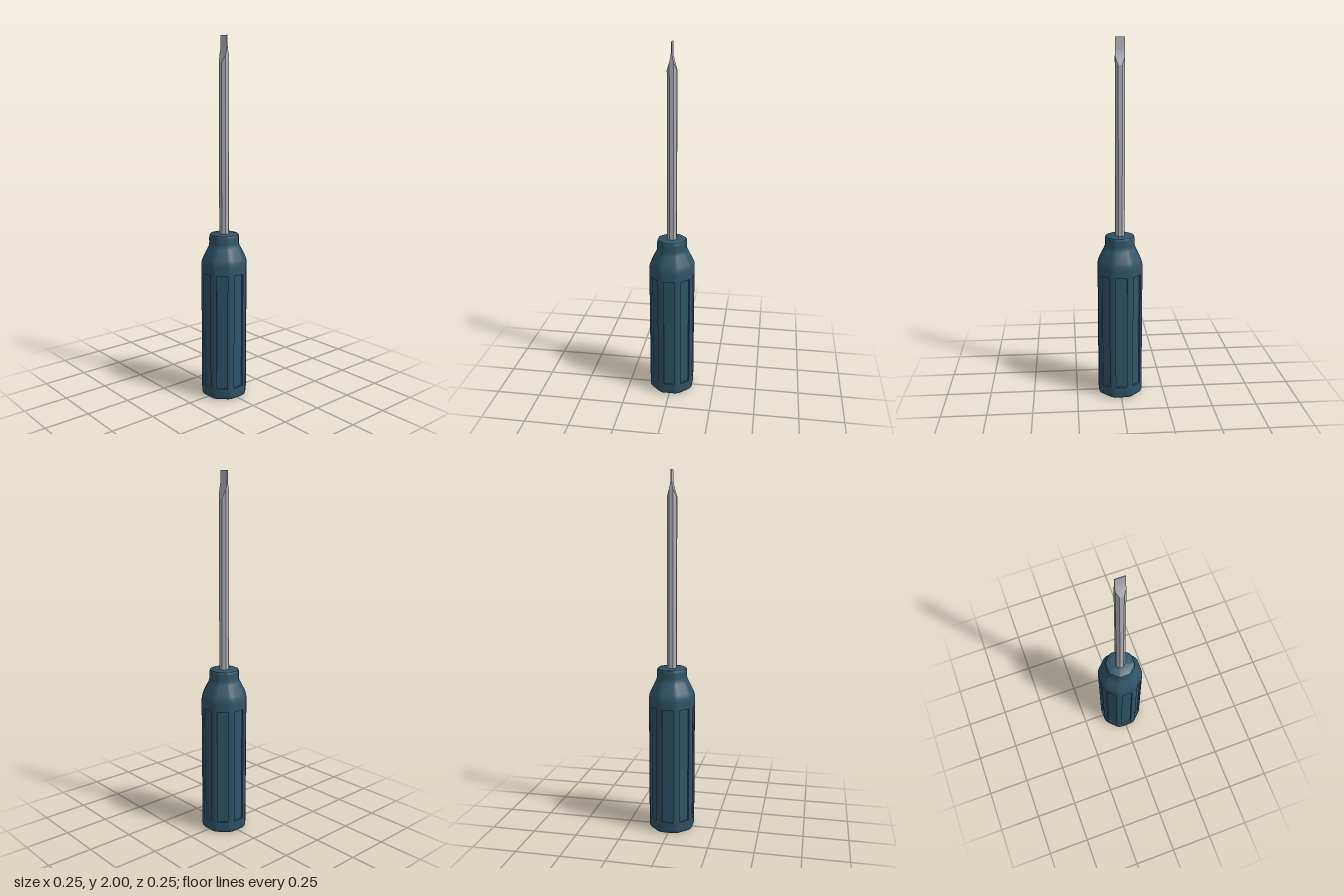
import * as THREE from 'three';
import { toCreasedNormals } from 'three/addons/utils/BufferGeometryUtils.js';

// Collects quads and triangles, corners given counterclockwise from outside
function makeSoup() {
  const pos = [];
  const tri = (a, b, c) => pos.push(...a, ...b, ...c);
  return {
    tri,
    quad(a, b, c, d) { tri(a, b, c); tri(a, c, d); },
    build(crease) {
      const g = new THREE.BufferGeometry();
      g.setAttribute('position', new THREE.Float32BufferAttribute(pos, 3));
      return toCreasedNormals(g, crease);
    },
  };
}

// Skins a stack of closed rings and caps both ends; skip() leaves openings
function loft(soup, rings, skip = () => false) {
  const n = rings[0].length;
  const first = rings[0], last = rings[rings.length - 1];
  for (let r = 0; r < rings.length - 1; r++) {
    for (let i = 0; i < n; i++) {
      const j = (i + 1) % n;
      if (!skip(r, i)) soup.quad(rings[r][i], rings[r][j], rings[r + 1][j], rings[r + 1][i]);
    }
  }
  for (let i = 0; i < n; i++) {
    const j = (i + 1) % n;
    soup.tri([0, first[0][1], 0], first[j], first[i]);
    soup.tri([0, last[0][1], 0], last[i], last[j]);
  }
}

// Eight-sided grip with rounded corners and a recessed panel in each side
function handleGeometry() {
  const apothem = 0.124, radius = 0.05, arcSteps = 4, depth = 0.01;
  const per = arcSteps + 1;
  const section = [];
  for (let k = 0; k < 8; k++) {
    const corner = (k + 0.5) * Math.PI / 4;
    const c = (apothem - radius) / Math.cos(Math.PI / 8);
    for (let s = 0; s <= arcSteps; s++) {
      const a = (k + s / arcSteps) * Math.PI / 4;
      section.push([
        Math.sin(corner) * c + Math.sin(a) * radius,
        Math.cos(corner) * c + Math.cos(a) * radius,
      ]);
    }
  }
  // [height, half width]
  const profile = [
    [0, 0.113], [0.004, 0.119], [0.01, 0.1225], [0.018, 0.124],
    [0.065, 0.124], [0.72, 0.124],
    [0.765, 0.124], [0.785, 0.122], [0.805, 0.115],
    [0.86, 0.088], [0.872, 0.083], [0.885, 0.081],
    [0.918, 0.081], [0.927, 0.0795], [0.932, 0.077], [0.935, 0.072],
  ];
  const rings = profile.map(([y, w]) => section.map(([x, z]) => [x * w / apothem, y, z * w / apothem]));
  const band = 4;
  const soup = makeSoup();
  loft(soup, rings, (r, i) => r === band && i % per === arcSteps);

  // Recess floors and walls
  const lo = rings[band], hi = rings[band + 1];
  for (let k = 0; k < 8; k++) {
    const i = k * per + arcSteps, j = (i + 1) % lo.length;
    const a = (k + 1) * Math.PI / 4;
    const sink = ([x, y, z]) => [x - Math.sin(a) * depth, y, z - Math.cos(a) * depth];
    const [p0, p1, p2, p3] = [lo[i], lo[j], hi[j], hi[i]];
    const [q0, q1, q2, q3] = [p0, p1, p2, p3].map(sink);
    soup.quad(q0, q1, q2, q3);
    soup.quad(p0, p1, q1, q0);
    soup.quad(q3, q2, p2, p3);
    soup.quad(p0, q0, q3, p3);
    soup.quad(q1, p1, p2, q2);
  }
  return soup.build(0.55);
}

// Octagonal rod, ground flat on front and back towards the tip
function shaftGeometry() {
  const w = 0.026, e = w * Math.tan(Math.PI / 8);
  const ring = (y, h) => {
    const x = Math.min(w, e + w - h); // where the grind meets the diagonal side
    const s = Math.min(e, h);
    return [[-x, y, h], [x, y, h], [w, y, s], [w, y, -s], [x, y, -h], [-x, y, -h], [-w, y, -s], [-w, y, s]];
  };
  const stations = [[0.9, w], [1.858, w], [1.9, e], [1.925, 0.005], [1.94, 0.003], [2, 0.002]];
  const soup = makeSoup();
  loft(soup, stations.map(([y, h]) => ring(y, h)));
  return soup.build(0.2);
}

export function createModel() {
  const group = new THREE.Group();
  group.name = 'screwdriver';

  const blue = new THREE.MeshStandardMaterial({ color: 0x305468 });
  blue.name = 'handle blue';
  const steel = new THREE.MeshStandardMaterial({ color: 0xb2b4b8 });
  steel.name = 'steel grey';

  const handle = new THREE.Mesh(handleGeometry(), blue);
  handle.name = 'handle';
  const shaft = new THREE.Mesh(shaftGeometry(), steel);
  shaft.name = 'shaftAndBlade';

  group.add(handle, shaft);
  return group;
}
